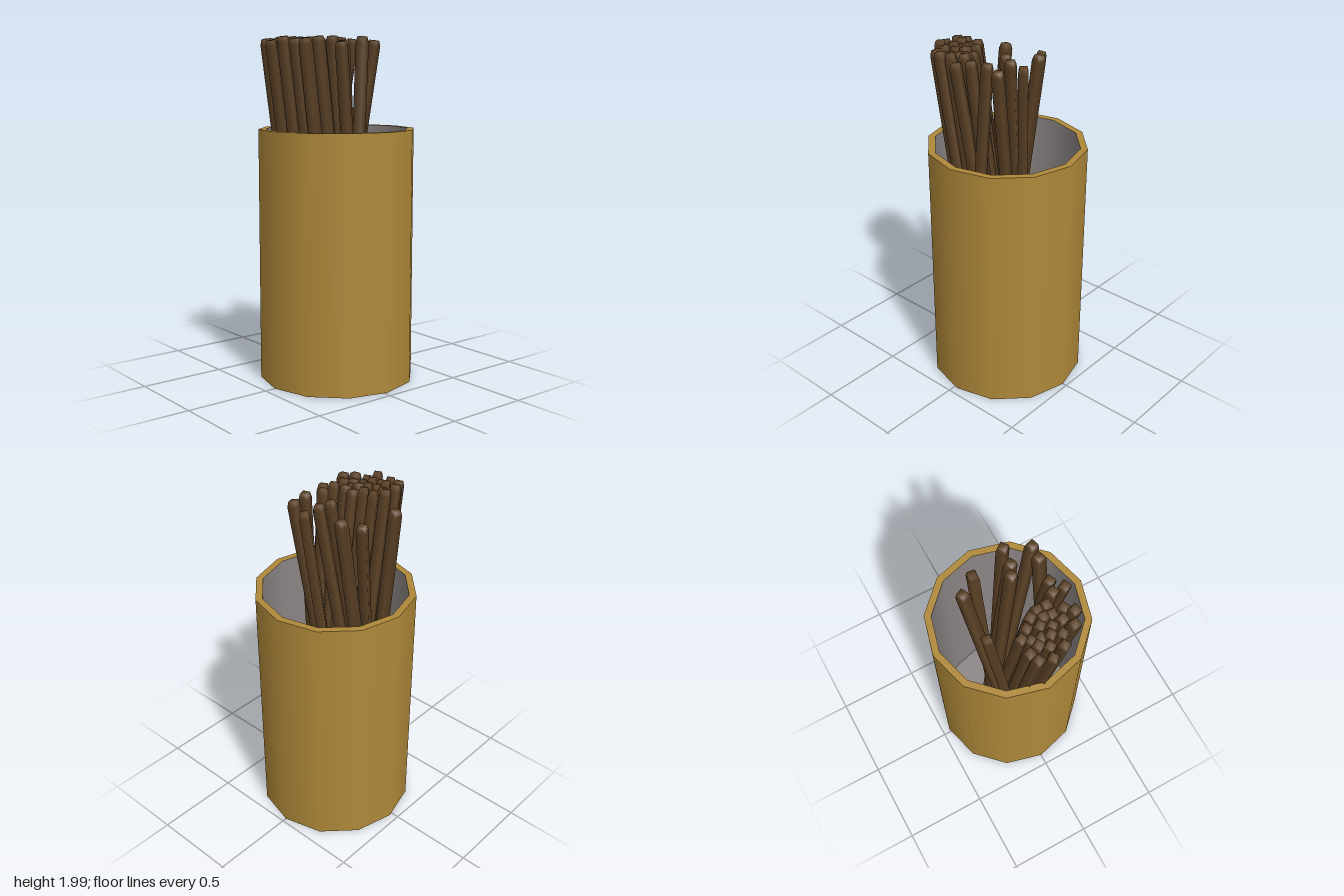
import * as THREE from 'three';

const CUP_Z = -0.02, OUTER = 0.455, INNER = 0.415, HEIGHT = 1.47, FLOOR = 0.04;
const UP = new THREE.Vector3(0, 1, 0);

// Lathe from [radius, y] pairs
const lathe = (points, sides) =>
  new THREE.LatheGeometry(points.map(([r, y]) => new THREE.Vector2(r, y)), sides);

// Leaning sticks: top x, top z, base x, base z, top height
const LEANING = [
  [0.065, -0.19, -0.12, -0.04, 1.97],
  [0.20, -0.13, -0.11, -0.03, 1.97],
  [0.055, -0.09, -0.23, 0.045, 1.98],
  [0.025, -0.03, -0.21, 0.095, 1.99],
  [-0.14, -0.13, -0.165, 0.17, 1.97],
  [-0.23, -0.07, -0.08, 0.24, 1.95],
  [-0.235, 0.195, -0.05, 0.22, 1.94],
  [0.19, -0.05, 0.235, 0.075, 1.99],
  [0.235, 0.14, 0.11, -0.12, 1.96],
  [0.18, 0.08, 0.09, -0.11, 1.97],
  [0.16, 0.145, 0.06, -0.09, 1.99],
];

// Tight bundle: top x, top z, twist in degrees
const BUNDLE = [
  [0.055, 0.185, 0], [0.105, 0.185, 0], [0.058, 0.236, 0], [0.107, 0.238, 0],
  [0.17, 0.24, 30], [0.21, 0.28, 15], [0.14, 0.285, 12], [0.175, 0.34, 8],
  [0, 0.21, 30], [-0.04, 0.245, 30], [-0.09, 0.285, 20], [0.02, 0.27, 35],
  [-0.05, 0.31, 35], [0.075, 0.295, 35], [0.045, 0.335, 35], [0, 0.32, 30],
  [-0.09, 0.37, 15], [-0.035, 0.355, 30], [0.015, 0.38, 30], [0.1, 0.355, 30],
  [0.075, 0.415, 30], [0, 0.44, 40], [-0.07, 0.42, 20],
];

export function createModel() {
  const model = new THREE.Group();
  const gold = new THREE.MeshStandardMaterial({ color: 0xb0893a });
  const grey = new THREE.MeshStandardMaterial({ color: 0x8c8585 });
  const brown = new THREE.MeshStandardMaterial({ color: 0x5c4226 });

  // Twelve-sided cup: separate surfaces keep the rim and floor edges sharp
  const cup = new THREE.Group();
  cup.name = 'cup';
  cup.position.z = CUP_Z;
  model.add(cup);
  const addCupPart = (name, points, material) => {
    const mesh = new THREE.Mesh(lathe(points, 12), material);
    mesh.name = name;
    cup.add(mesh);
  };
  addCupPart('outerWall', [[OUTER, 0], [OUTER, HEIGHT]], gold);
  addCupPart('rim', [[OUTER, HEIGHT], [INNER, HEIGHT]], gold);
  addCupPart('underside', [[0, 0], [OUTER, 0]], gold);
  addCupPart('innerWall', [[INNER, HEIGHT], [INNER, FLOOR]], grey);
  addCupPart('innerFloor', [[INNER, FLOOR], [0, FLOOR]], grey);

  // Square sticks with a small bevelled tip
  const sticks = new THREE.Group();
  sticks.name = 'sticks';
  model.add(sticks);
  const addStick = (tx, tz, bx, bz, top, twist) => {
    const base = new THREE.Vector3(bx, FLOOR, bz);
    const axis = new THREE.Vector3(tx, top, tz).sub(base);
    const len = axis.length(), r = 0.038;
    const geometry = lathe(
      [[0, 0], [r, 0], [r, 0.01], [r, len - 0.03], [r * 0.75, len], [0, len]], 4);
    geometry.rotateY(Math.PI / 4 + twist);
    const mesh = new THREE.Mesh(geometry, brown);
    mesh.name = 'stick';
    mesh.position.copy(base);
    mesh.quaternion.setFromUnitVectors(UP, axis.normalize());
    sticks.add(mesh);
  };

  for (const [tx, tz, bx, bz, top] of LEANING) {
    addStick(tx, tz, bx, bz, top, -Math.atan2(tz - bz, tx - bx));
  }
  BUNDLE.forEach(([x, z, deg], i) => {
    addStick(x, z, x * 0.85 - 0.03, z - 0.29, 1.965 + 0.01 * (i % 3), THREE.MathUtils.degToRad(deg));
  });
  return model;
}
